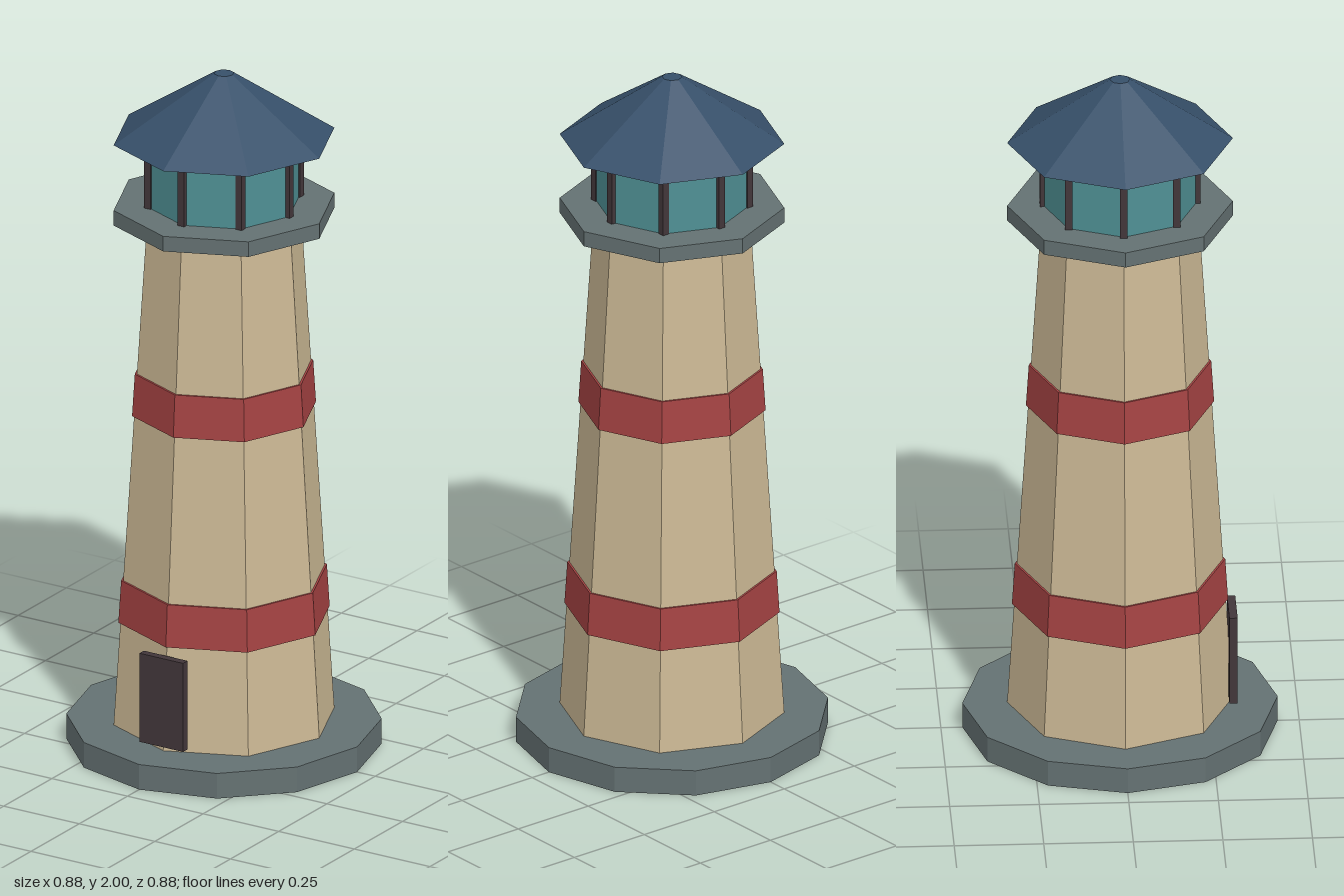
import * as THREE from 'three';

const mat = (name, color) => {
  const m = new THREE.MeshStandardMaterial({ color, flatShading: true });
  m.name = name;
  return m;
};

export function createModel() {
  const stone = mat('stone grey', 0x647172);
  const plaster = mat('sand plaster', 0xccb995);
  const red = mat('band red', 0xa54343);
  const glass = mat('lantern glass', 0x4f9094);
  const roofBlue = mat('roof blue', 0x37506a);
  const darkWood = mat('dark brown', 0x42363a);

  const group = new THREE.Group();
  group.name = 'lighthouse';

  const add = (name, geometry, material, x, y, z) => {
    const mesh = new THREE.Mesh(geometry, material);
    mesh.name = name;
    mesh.position.set(x, y, z);
    group.add(mesh);
    return mesh;
  };
  // Faceted prism or frustum between two heights
  const frustum = (name, material, y0, y1, r0, r1, sides = 8) =>
    add(name, new THREE.CylinderGeometry(r1, r0, y1 - y0, sides), material, 0, (y0 + y1) / 2, 0);

  // Plinth and tapering tower
  const y0 = 0.075, y1 = 1.57, r0 = 0.315, r1 = 0.22;
  const towerRadius = (y) => r0 + (r1 - r0) * (y - y0) / (y1 - y0);
  frustum('plinth', stone, 0, y0, 0.44, 0.44, 12);
  frustum('tower', plaster, y0, y1, r0, r1);

  // Painted bands follow the taper, standing slightly proud
  [[0.38, 0.505], [0.995, 1.12]].forEach(([a, b], i) =>
    frustum(`band${i + 1}`, red, a, b, towerRadius(a) + 0.006, towerRadius(b) + 0.006));

  // Door
  add('door', new THREE.BoxGeometry(0.144, 0.265, 0.023), darkWood, 0, 0.2225, 0.3135);

  // Gallery, lantern room and roof
  frustum('gallery', stone, y1, 1.615, 0.315, 0.315);
  frustum('lanternGlass', glass, 1.615, 1.81, 0.215, 0.215);
  const postGeometry = new THREE.BoxGeometry(0.021, 0.195, 0.021);
  for (let i = 0; i < 8; i++) {
    const a = i * Math.PI / 4;
    add(`lanternPost${i + 1}`, postGeometry, darkWood, 0.213 * Math.sin(a), 1.7125, 0.213 * Math.cos(a));
  }
  frustum('roof', roofBlue, 1.81, 2, 0.315, 0.028);

  return group;
}
